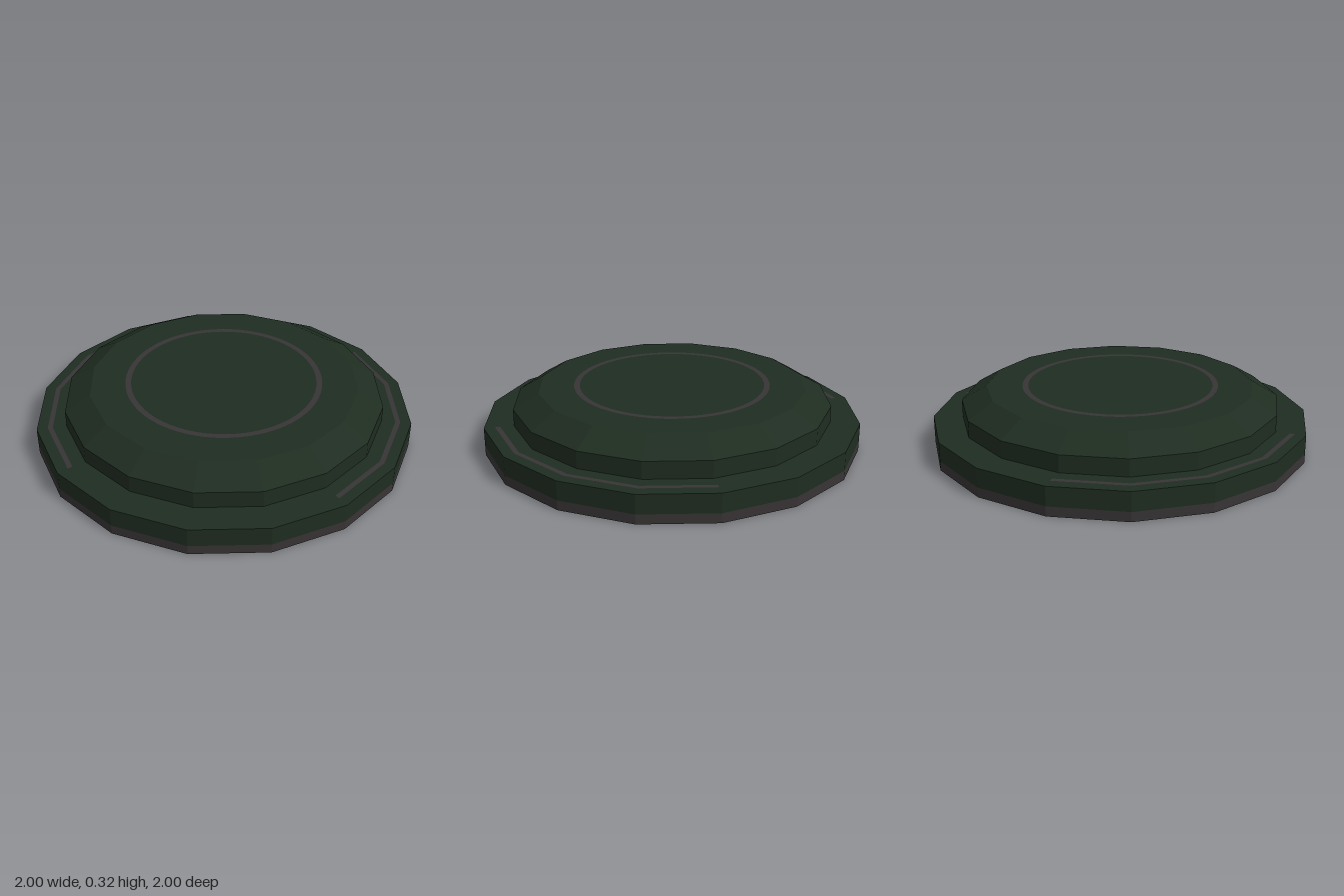
import * as THREE from 'three';

const SIDES = 16;

export function createModel() {
  const group = new THREE.Group();
  const green = new THREE.MeshStandardMaterial({ color: 0x1f2d21, flatShading: true });
  const grey = new THREE.MeshStandardMaterial({ color: 0x383435, flatShading: true });

  const add = (name, geometry, material, y) => {
    const mesh = new THREE.Mesh(geometry, material);
    mesh.name = name;
    mesh.position.y = y;
    group.add(mesh);
    return mesh;
  };

  // Stepped body above the trim band, with a bevelled upper tier
  const profile = [[1, 0.05], [1, 0.15], [0.845, 0.15], [0.845, 0.24], [0.71, 0.32], [0, 0.32]];
  add('steppedBody', new THREE.LatheGeometry(profile.map(([r, y]) => new THREE.Vector2(r, y)), SIDES), green, 0);

  // Trim band around the foot, and the underside
  add('footBand', new THREE.CylinderGeometry(1, 1, 0.05, SIDES, 1, true), grey, 0.025);
  add('underside', new THREE.CircleGeometry(1, SIDES).rotateX(Math.PI / 2), green, 0);

  // Thin flat ring on the top face
  add('topRing', new THREE.RingGeometry(0.49, 0.52, 64).rotateX(-Math.PI / 2), grey, 0.322);

  // Faceted quarter strips on the left and right of the lower step
  for (const [name, centre] of [['leftStrip', 0], ['rightStrip', Math.PI]]) {
    const strip = new THREE.RingGeometry(0.917, 0.943, 4, 1, centre - Math.PI / 4, Math.PI / 2);
    add(name, strip.rotateX(-Math.PI / 2), grey, 0.152);
  }

  return group;
}
